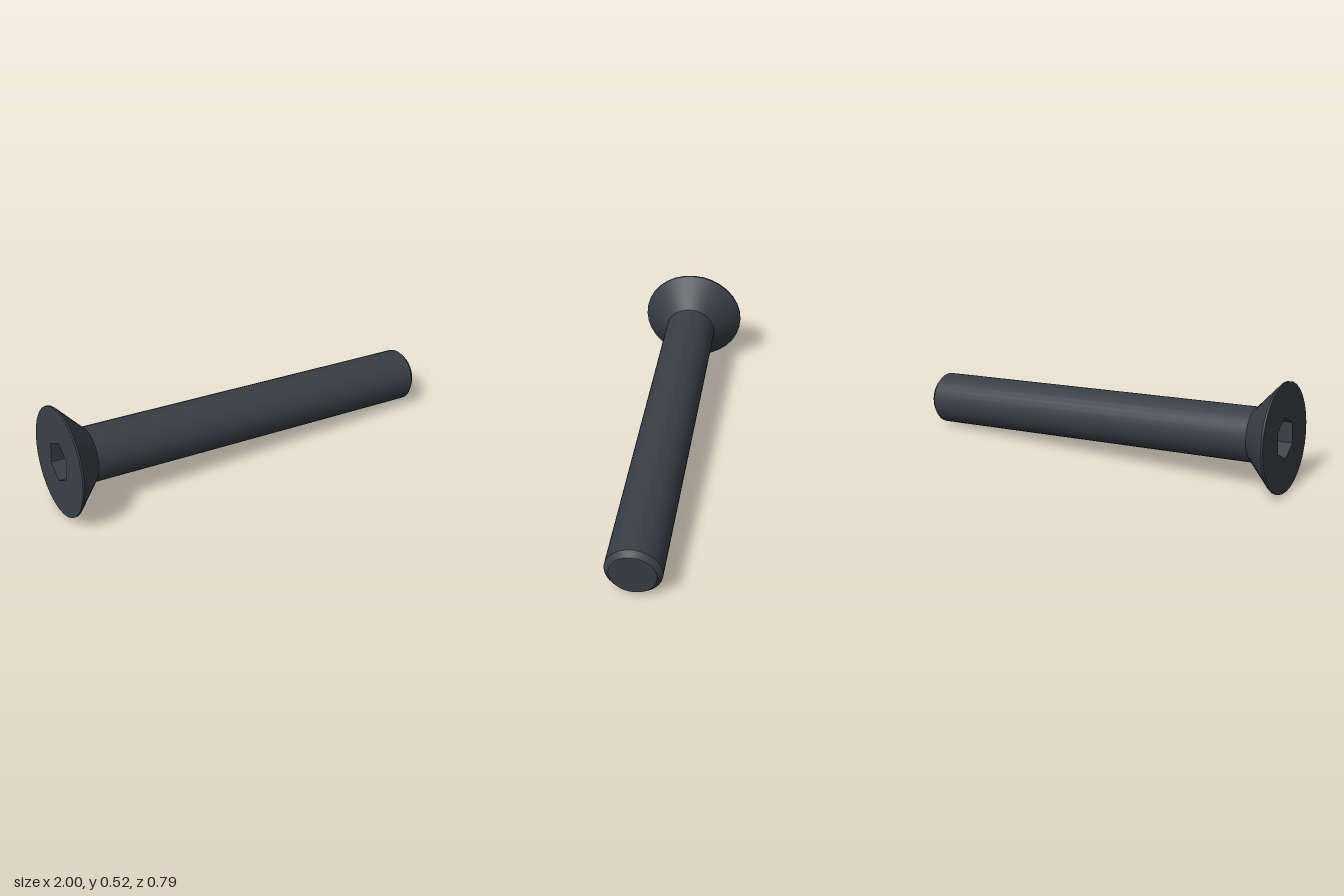
import * as THREE from 'three';

const SIDES = 32;
const HEAD_R = 0.262, SHANK_R = 0.131, TIP_R = 0.108;
const RIM_END = 0.009, CONE_END = 0.14, CHAMFER_START = 1.942, LENGTH = 1.966;
const SOCKET_R = 0.1, SOCKET_DEPTH = 0.115;

export function createModel() {
  const steel = new THREE.MeshStandardMaterial({ color: 0x383f45 });
  steel.name = 'dark steel';

  const model = new THREE.Group();
  model.name = 'countersunkScrew';
  const add = (name, geometry) => {
    const mesh = new THREE.Mesh(geometry, steel);
    mesh.name = name;
    model.add(mesh);
  };

  // Turned surfaces, one per band so the edges between them stay sharp
  const band = (name, r0, y0, r1, y1) => add(name, new THREE.LatheGeometry(
    [new THREE.Vector2(r0, y0), new THREE.Vector2(r1, y1)], SIDES));
  band('headRim', HEAD_R, 0, HEAD_R, RIM_END);
  band('headCone', HEAD_R, RIM_END, SHANK_R, CONE_END);
  band('shank', SHANK_R, CONE_END, SHANK_R, CHAMFER_START);
  band('tipChamfer', SHANK_R, CHAMFER_START, TIP_R, LENGTH);
  band('tipFace', TIP_R, LENGTH, 0, LENGTH);

  // Flat head face with a hexagonal opening
  const ring = (r, n) => Array.from({ length: n }, (_, i) => {
    const a = (i / n) * Math.PI * 2;
    return new THREE.Vector2(Math.sin(a) * r, Math.cos(a) * r);
  });
  const face = new THREE.Shape(ring(HEAD_R, SIDES));
  face.holes.push(new THREE.Path(ring(SOCKET_R, 6)));
  add('headFace', new THREE.ShapeGeometry(face).rotateX(Math.PI / 2));

  // Hex socket: inward-facing walls and a floor
  const walls = new THREE.CylinderGeometry(SOCKET_R, SOCKET_R, SOCKET_DEPTH, 6, 1, true);
  walls.index.array.reverse();
  const flatWalls = walls.toNonIndexed().translate(0, SOCKET_DEPTH / 2, 0);
  flatWalls.computeVertexNormals();
  add('socketWalls', flatWalls);
  add('socketFloor', new THREE.CircleGeometry(SOCKET_R, 6, Math.PI / 2)
    .rotateX(Math.PI / 2).translate(0, SOCKET_DEPTH, 0));

  // Lay the screw along its sloping axis, head centre to tip
  const head = new THREE.Vector3(-0.943, 0.262, -0.137);
  const axis = new THREE.Vector3(0.975, 0.13, 0.272).sub(head).normalize();
  const across = new THREE.Vector3(-axis.z, 0, axis.x).normalize();
  const third = new THREE.Vector3().crossVectors(across, axis);
  model.quaternion.setFromRotationMatrix(new THREE.Matrix4().makeBasis(across, axis, third));
  model.position.copy(head);

  const root = new THREE.Group();
  root.name = 'screw';
  root.add(model);
  return root;
}
